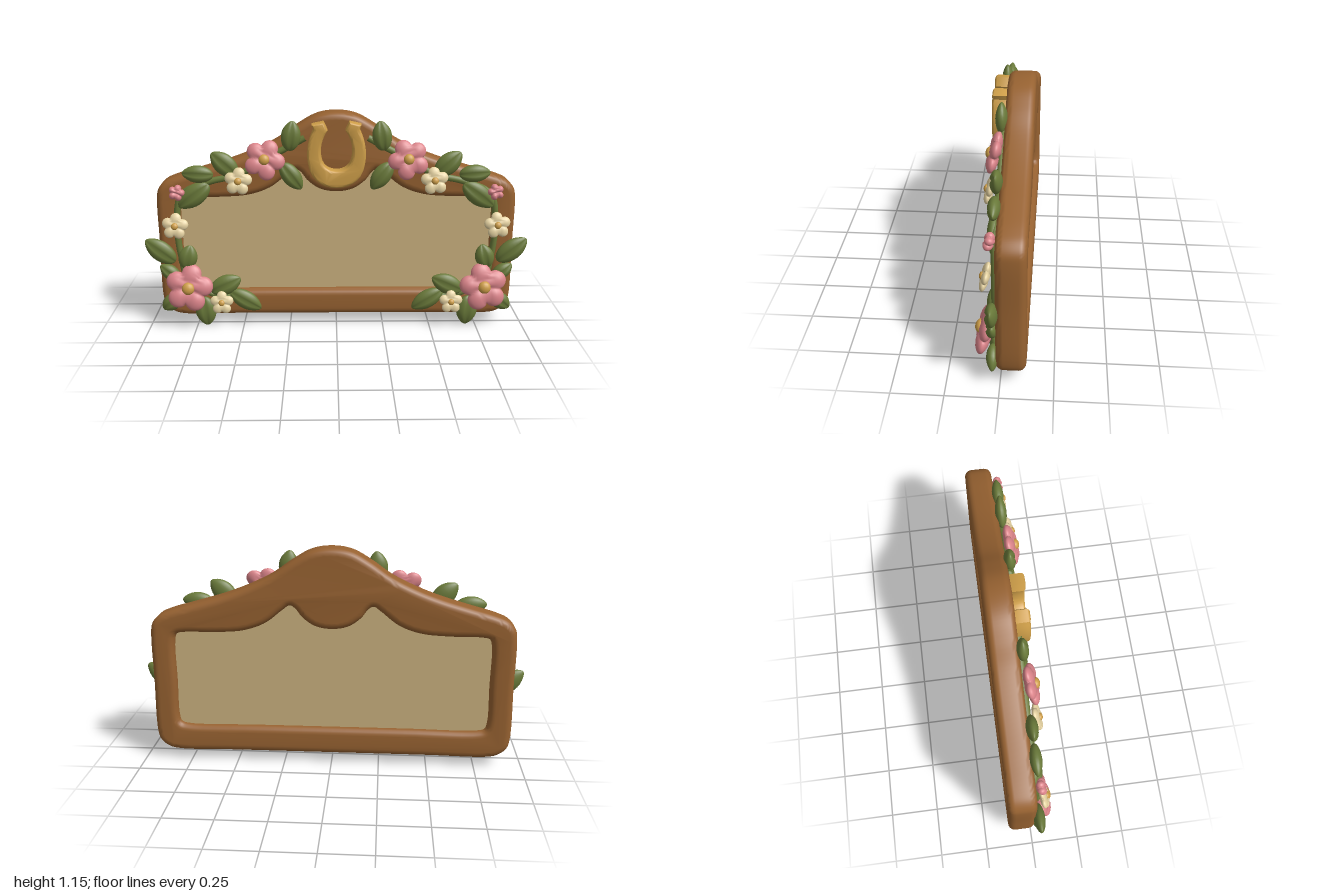
import * as THREE from 'three';
import { mergeVertices, toCreasedNormals } from 'three/addons/utils/BufferGeometryUtils.js';

const mat = (name, color) => {
  const m = new THREE.MeshStandardMaterial({ color });
  m.name = name;
  return m;
};

// Mirrors a right-half outline (bottom centre to top centre) into a smooth closed loop
function mirroredLoop(half, divisions) {
  const left = half.slice(1, -1).reverse().map(([x, y]) => [-x, y]);
  const pts = [...half, ...left].map(([x, y]) => new THREE.Vector3(x, y, 0));
  const loop = new THREE.CatmullRomCurve3(pts, true, 'centripetal').getPoints(divisions);
  loop.pop();
  return loop.map((p) => new THREE.Vector2(p.x, p.y));
}

// Rounded slab between two z values, keeping the outline at its widest
function slab(shape, z0, z1, bevel) {
  const g = new THREE.ExtrudeGeometry(shape, {
    depth: z1 - z0 - 2 * bevel, bevelEnabled: bevel > 0, bevelThickness: bevel,
    bevelSize: bevel, bevelOffset: -bevel, bevelSegments: 5, curveSegments: 12,
  });
  g.translate(0, 0, z0 + bevel);
  return toCreasedNormals(g, 0.8);
}

// Unit sphere whose vertices are moved by a rule, with smooth normals
function mouldedSphere(rule, w = 40, h = 16) {
  let g = new THREE.SphereGeometry(1, w, h);
  g.deleteAttribute('uv');
  g.deleteAttribute('normal');
  g = mergeVertices(g, 1e-4);
  const p = g.attributes.position;
  const v = new THREE.Vector3();
  for (let i = 0; i < p.count; i++) {
    rule(v.fromBufferAttribute(p, i));
    p.setXYZ(i, v.x, v.y, v.z);
  }
  g.computeVertexNormals();
  return g;
}

export function createModel() {
  const brown = mat('carved wood', 0x976231);
  const sand = mat('sand panel', 0xcbb27f);
  const gold = mat('gold', 0xcf9f49);
  const green = mat('leaf green', 0x6a7a3a);
  const pink = mat('petal pink', 0xdb848a);
  const cream = mat('petal cream', 0xe6d3a2);

  const root = new THREE.Group();
  root.name = 'floralSign';
  const add = (name, geo, material, parent = root) => {
    const m = new THREE.Mesh(geo, material);
    m.name = name;
    parent.add(m);
    return m;
  };

  // Frame with a domed crest and a hole that leaves a round medallion
  const outer = [[0, 0.055], [0.5, 0.055], [0.83, 0.055], [0.88, 0.07], [0.92, 0.105], [0.935, 0.16],
    [0.935, 0.45], [0.935, 0.7], [0.925, 0.755], [0.89, 0.795], [0.83, 0.822], [0.7, 0.86], [0.55, 0.905],
    [0.42, 0.955], [0.3, 1.015], [0.2, 1.085], [0.1, 1.14], [0, 1.155]];
  const inner = [[0, 0.2], [0.4, 0.2], [0.76, 0.2], [0.8, 0.212], [0.812, 0.25], [0.812, 0.45], [0.812, 0.66],
    [0.8, 0.7], [0.76, 0.71], [0.6, 0.712], [0.45, 0.725], [0.34, 0.765], [0.25, 0.835], [0.212, 0.86],
    [0.185, 0.845], [0.15, 0.8], [0.085, 0.755], [0, 0.74]];
  const frame = new THREE.Shape(mirroredLoop(outer, 180));
  frame.holes.push(new THREE.Path(mirroredLoop(inner, 180)));
  add('frame', slab(frame, -0.12, 0.02, 0.035), brown);

  // Panel, its edges buried in the frame
  const board = [[0.87, 0.13], [0.87, 0.75], [0.5, 0.82], [0.25, 0.95]];
  const boardLoop = [...board, ...board.map(([x, y]) => [-x, y]).reverse()];
  add('panel', slab(new THREE.Shape(boardLoop.map(([x, y]) => new THREE.Vector2(x, y))), -0.085, -0.02, 0), sand);

  // Horseshoe on the medallion
  const shoe = new THREE.Shape();
  shoe.moveTo(-0.125, 1.105);
  shoe.lineTo(-0.115, 1.08);
  shoe.bezierCurveTo(-0.155, 1.01, -0.155, 0.93, -0.135, 0.87);
  shoe.bezierCurveTo(-0.1, 0.75, 0.1, 0.75, 0.135, 0.87);
  shoe.bezierCurveTo(0.155, 0.93, 0.155, 1.01, 0.115, 1.08);
  shoe.lineTo(0.125, 1.105);
  shoe.lineTo(0.065, 1.118);
  shoe.lineTo(0.045, 1.075);
  shoe.bezierCurveTo(0.085, 1.02, 0.085, 0.95, 0.07, 0.91);
  shoe.bezierCurveTo(0.045, 0.855, -0.045, 0.855, -0.07, 0.91);
  shoe.bezierCurveTo(-0.085, 0.95, -0.085, 1.02, -0.045, 1.075);
  shoe.lineTo(-0.065, 1.118);
  add('horseshoe', slab(shoe, 0.01, 0.09, 0.015), gold);

  // Leaf along y with a pointed tip and a pressed midrib
  const leafGeo = mouldedSphere((v) => {
    const taper = 1 - 0.3 * Math.max(v.y, 0) ** 2;
    const groove = v.z > 0 ? 1 - 0.3 * Math.exp(-((v.x / 0.15) ** 2)) : 1;
    v.set(v.x * taper, v.y, v.z * taper * groove);
  }, 24, 14);

  // Five puffy petals, dented where they meet and dished at the centre
  const flowerGeo = mouldedSphere((v) => {
    const r = Math.hypot(v.x, v.y);
    const lobe = Math.abs(Math.cos(2.5 * (Math.atan2(v.y, v.x) - Math.PI / 2)));
    const spread = 1 - 0.33 * (1 - lobe ** 0.7) * r;
    const puff = (0.62 + 0.38 * lobe) * (v.z > 0 ? 1 - 0.4 * Math.exp(-((r / 0.4) ** 2)) : 1);
    v.set(v.x * spread, v.y * spread, v.z * 0.32 * puff);
  }, 24, 60);
  const seedGeo = new THREE.SphereGeometry(1, 16, 10);

  // Leaves as base x, y, tip x, y and half width; blooms as x, y, radius, z, turn
  const leaves = [[0.24, 0.965, 0.22, 1.118, 0.05], [0.28, 0.9, 0.18, 0.765, 0.048],
    [0.51, 0.84, 0.635, 0.955, 0.054], [0.63, 0.84, 0.79, 0.85, 0.046], [0.655, 0.79, 0.815, 0.67, 0.055],
    [0.85, 0.37, 1, 0.49, 0.055], [0.8, 0.33, 0.765, 0.46, 0.05], [0.83, 0.27, 0.93, 0.35, 0.04],
    [0.67, 0.2, 0.51, 0.275, 0.054], [0.565, 0.2, 0.405, 0.1, 0.05], [0.71, 0.17, 0.695, 0.005, 0.056],
    [0.83, 0.18, 0.93, 0.1, 0.045]];
  const blooms = [
    ['largePinkFlower', pink, 0.78, 0.235, 0.128, 0.075, 0.2],
    ['pinkFlower', pink, 0.365, 0.925, 0.105, 0.062, 0.45],
    ['creamFlowerLow', cream, 0.61, 0.15, 0.063, 0.075, 0],
    ['creamFlowerHigh', cream, 0.5, 0.815, 0.072, 0.072, 0.1],
    ['creamFlowerSide', cream, 0.835, 0.575, 0.07, 0.067, 0.1],
    ['pinkBud', pink, 0.82, 0.75, 0.043, 0.05, 0.3]];
  const vine = [[0.16, 1.03], [0.25, 0.98], [0.365, 0.92], [0.5, 0.84], [0.66, 0.8], [0.8, 0.73], [0.83, 0.57],
    [0.82, 0.4], [0.78, 0.25], [0.62, 0.17], [0.5, 0.17]];

  // Garlands, one on each side
  for (const s of [1, -1]) {
    const garland = new THREE.Group();
    garland.name = s > 0 ? 'leftGarland' : 'rightGarland';
    root.add(garland);

    const path = new THREE.CatmullRomCurve3(vine.map(([x, y]) => new THREE.Vector3(s * x, y, 0.025)));
    add('vine', new THREE.TubeGeometry(path, 70, 0.017, 8), green, garland);

    for (const [x0, y0, x1, y1, w] of leaves) {
      const leaf = add('leaf', leafGeo, green, garland);
      leaf.position.set(s * (x0 + x1) / 2, (y0 + y1) / 2, 0.036);
      leaf.rotation.z = Math.atan2(-s * (x1 - x0), y1 - y0);
      leaf.scale.set(w, Math.hypot(x1 - x0, y1 - y0) / 2, 0.03);
    }

    for (const [name, material, x, y, r, z, turn] of blooms) {
      const bloom = new THREE.Group();
      bloom.name = name;
      bloom.position.set(s * x, y, z);
      bloom.rotation.x = -0.25;
      garland.add(bloom);
      const petals = add('petals', flowerGeo, material, bloom);
      petals.scale.setScalar(r);
      petals.rotation.z = s * turn;
      if (name === 'pinkBud') {
        petals.scale.z *= 2;
        continue;
      }
      const seed = add('flowerCentre', seedGeo, gold, bloom);
      seed.scale.set(r * 0.26, r * 0.26, r * 0.18);
      seed.position.z = r * 0.2;
    }
  }
  return root;
}
